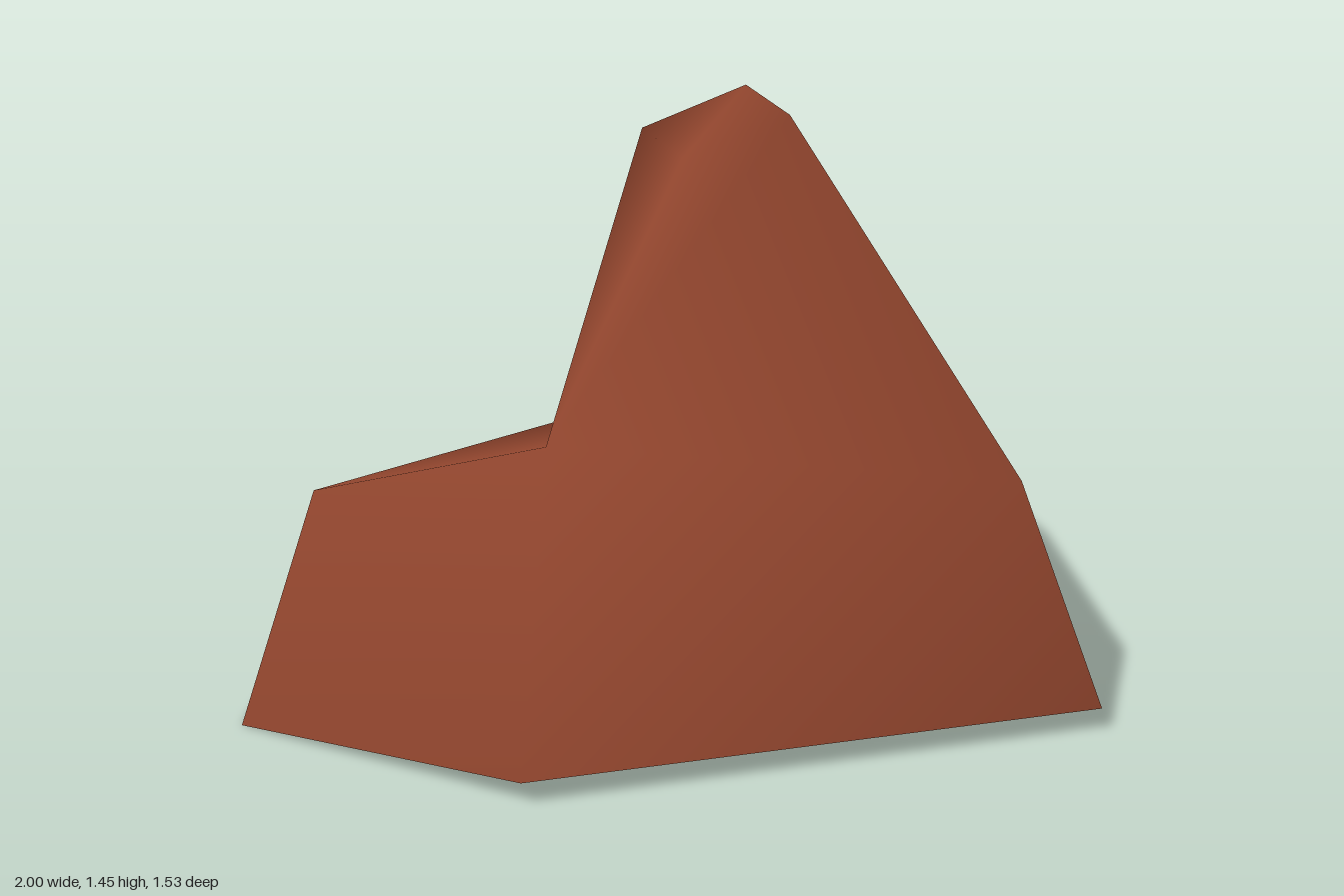
import * as THREE from 'three';

// Smooth shell from quads, each split along its first and third corner.
// Corners that are the same point object share one normal.
function shell(name, quads, material) {
  const points = [...new Set(quads.flat())];
  const indices = quads.flatMap(([a, b, c, d]) => [a, b, c, a, c, d].map((p) => points.indexOf(p)));
  const geometry = new THREE.BufferGeometry();
  geometry.setAttribute('position', new THREE.Float32BufferAttribute(points.flat(), 3));
  geometry.setIndex(indices);
  geometry.computeVertexNormals();
  const mesh = new THREE.Mesh(geometry, material);
  mesh.name = name;
  return mesh;
}

export function createModel() {
  const stone = new THREE.MeshStandardMaterial({ color: 0x8d432c, side: THREE.DoubleSide });
  stone.name = 'red brown stone';

  // Three cross-sections, each running left, back, right, front
  const [baseLeft, baseBackLeft, baseBack, baseBackRight, baseFrontRight, baseFrontLeft] = [
    [-1, 0, 0.16], [-0.61, 0.033, -0.7], [-0.13, 0.056, -0.575],
    [0.97, 0.06, -0.77], [1, 0.06, 0.765], [-0.45, 0.06, 0.765]];
  const [left, backLeft, back, backRight, frontRight, front] = [
    [-0.78, 0.54, 0.025], [-0.59, 0.3, -0.58], [0.017, 0.5, -0.44],
    [0.93, 0.43, -0.63], [0.83, 0.61, 0.61], [-0.28, 0.72, 0.36]];
  const [peakBackLeft, peakBackRight, peakFrontRight, peakFrontLeft] = [
    [0.09, 1.36, -0.1], [0.365, 1.447, -0.12], [0.38, 1.435, 0.17], [0.11, 1.348, 0.175]];

  // Copies that start a hard edge between neighbouring faces
  const baseCorner = [...baseBackLeft];
  const peakCorner = [...peakBackRight];

  const group = new THREE.Group();
  group.name = 'rock';
  group.add(
    // Rounded body, open underneath
    shell('rockBody', [
      // lower sides
      [baseBackLeft, baseLeft, left, backLeft],
      [baseBack, baseCorner, backLeft, back],
      [baseBackRight, baseBack, back, backRight],
      [baseFrontLeft, baseFrontRight, frontRight, front],
      [baseFrontLeft, front, left, baseLeft],
      // low ledge
      [left, front, back, backLeft],
      // summit slopes and cap
      [backRight, back, peakBackLeft, peakBackRight],
      [front, frontRight, peakFrontRight, peakFrontLeft],
      [front, peakFrontLeft, peakBackLeft, back],
      [peakFrontLeft, peakFrontRight, peakCorner, peakBackLeft],
    ], stone),
    // Sharp-edged cliff
    shell('cliffFace', [
      [baseBackRight, backRight, frontRight, baseFrontRight],
      [frontRight, backRight, peakBackRight, peakFrontRight],
    ], stone),
  );
  return group;
}
